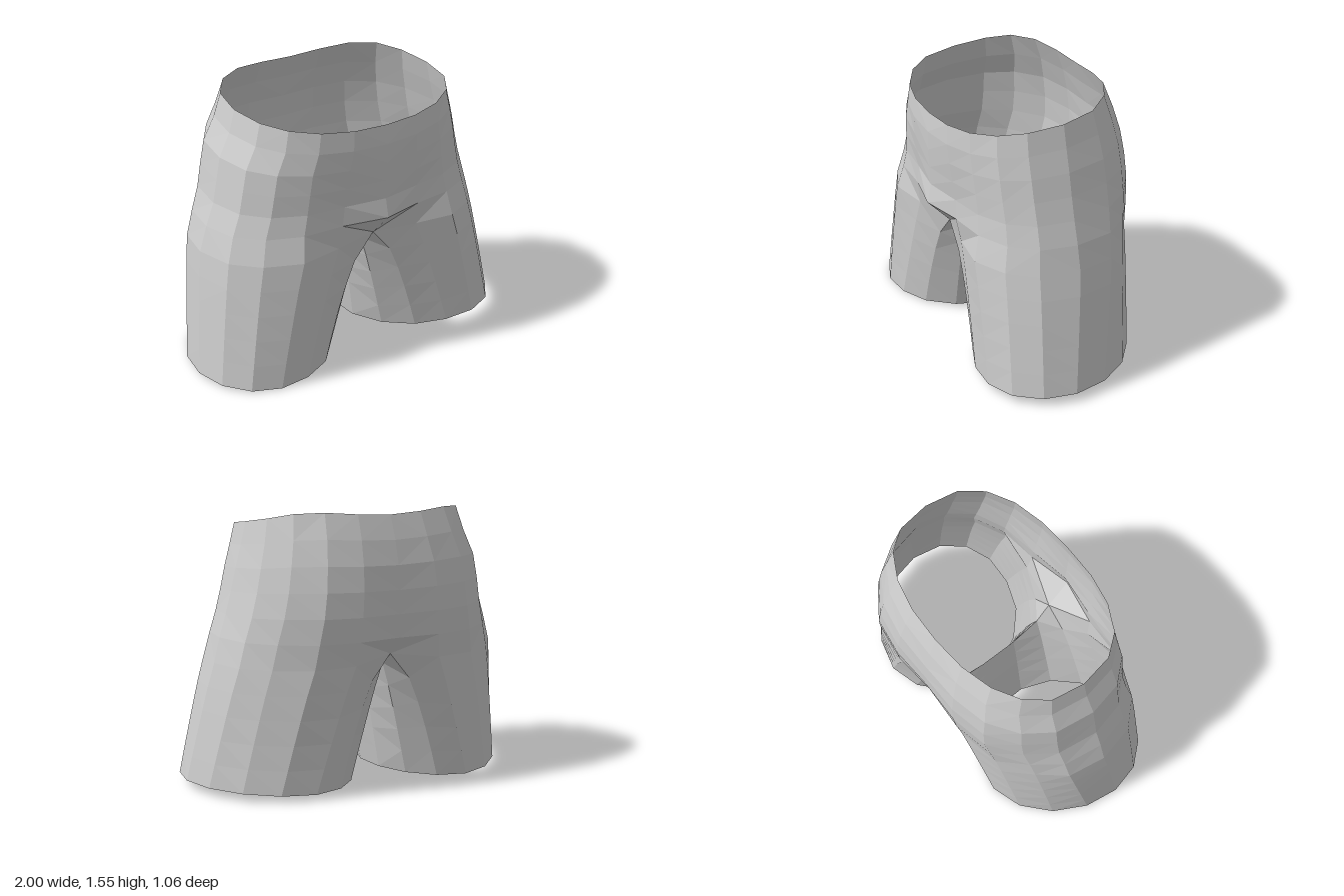
import * as THREE from 'three';

const N = 10;            // columns from front centre to back centre on each side
const LEG_SIDES = 15;    // the same columns plus four crotch seam points

// Rows from waistband to crotch: left half width, right half width, front z, back z
const HIP_ROWS = [
  [0.655, 0.665, 0.505, -0.41],
  [0.685, 0.70, 0.52, -0.46],
  [0.72, 0.765, 0.52, -0.495],
  [0.75, 0.79, 0.515, -0.51],
  [0.785, 0.815, 0.51, -0.51],
  [0.825, 0.865, 0.52, -0.49],
  [0.86, 0.91, 0.56, -0.475],
];
const LAST = HIP_ROWS.length - 1;
const HIP_Y = 0.86, CROTCH_Y = 0.72;

// Crotch seam from back to front: z, y
const SEAM = [[-0.32, 0.69], [-0.11, 0.62], [0.12, 0.60], [0.30, 0.65]];

const lerp = THREE.MathUtils.lerp;
const bump = (x, centre, width) => Math.exp(-(((x - centre) / width) ** 2));

// One point of the hips: row, column k (0 front, N back), side +1 left / -1 right
function hipPoint(row, k, side) {
  const f = Math.min(row / (LAST - 1), 1);
  const [left, right, front, back] = HIP_ROWS[row];
  const a = (k / N) * Math.PI;
  const s = k % N === 0 ? 0 : Math.sin(a), c = Math.cos(a);
  const x = s * (side > 0 ? left : right);
  const mid = 0.04, isFront = k < N / 2;
  const depth = Math.pow(Math.max(0, 1 - s ** 2.5), 0.4);
  let z = mid + ((isFront ? front : back) - mid) * depth;
  // Hollow between fly and thigh in front, fuller seat beside the back crease
  if (isFront) z -= 0.045 * f * bump(x, 0.32, 0.13);
  else z -= 0.05 * f * bump(x, 0.4, 0.2);
  // The fly stands out above the crotch, and the lowest row tucks in below it
  if (row === LAST - 1 && isFront) z += 0.015 * bump(x, 0, 0.25);
  if (row === LAST) z += isFront ? -0.16 * bump(x, 0, 0.26) : 0.06 * bump(x, 0, 0.2);
  const waistY = 1.465 - 0.065 * c + 0.025 * s * s + (c < 0 ? 0.03 * Math.sin(2 * a) ** 2 : 0);
  const crotchY = CROTCH_Y + (isFront ? 0 : 0.04 * bump(x, 0, 0.2));
  return new THREE.Vector3(side * x, row === LAST ? crotchY : lerp(waistY, HIP_Y, f), z);
}

// One point of the leg hem, an oval whose outer side leans forward
function hemPoint(k, side) {
  const a = THREE.MathUtils.degToRad(-30 + 24 * k);
  const s = Math.sin(a), c = Math.cos(a);
  const [cx, rx] = side > 0 ? [0.54, 0.46] : [0.56, 0.44];
  const y = side > 0 ? 0.035 + 0.015 * s : 0.01 - 0.01 * Math.cos(2 * a);
  return new THREE.Vector3(side * (cx + rx * s), y, 0.025 + 0.47 * c + (s > 0 ? 0.1 : 0.03) * s);
}

// Rings run from top to bottom, each anticlockwise seen from above
function loft(name, rings, material) {
  const n = rings[0].length, points = rings.flat(), index = [];
  for (let r = 0; r < rings.length - 1; r++) {
    for (let i = 0; i < n; i++) {
      const a = r * n + i, b = r * n + (i + 1) % n, c = a + n, d = b + n;
      // Split each quad along its shorter diagonal
      if (points[a].distanceTo(points[d]) < points[b].distanceTo(points[c])) index.push(a, c, d, a, d, b);
      else index.push(a, c, b, b, c, d);
    }
  }
  const geometry = new THREE.BufferGeometry().setFromPoints(points);
  geometry.setIndex(index);
  geometry.computeVertexNormals();
  const mesh = new THREE.Mesh(geometry, material);
  mesh.name = name;
  return mesh;
}

function hips(material) {
  const rings = HIP_ROWS.map((_, row) => {
    const ring = [];
    for (let k = 0; k <= N; k++) ring.push(hipPoint(row, k, 1));
    for (let k = N - 1; k > 0; k--) ring.push(hipPoint(row, k, -1));
    return ring;
  });
  return loft('hips', rings, material);
}

function leg(name, side, material) {
  const rows = 5, rings = [];
  for (let r = 0; r <= rows; r++) {
    const t = r / rows, ring = [];
    for (let k = 0; k < LEG_SIDES; k++) {
      const seam = k > N ? SEAM[k - N - 1] : null;
      const top = seam ? new THREE.Vector3(-0.012, seam[1], seam[0]) : hipPoint(LAST, k, side);
      const hem = hemPoint(k, side);
      // The centre columns part quickly at the crotch
      const tx = Math.pow(t, k === 0 || k === N ? 0.6 : 0.9);
      ring.push(new THREE.Vector3(lerp(top.x, hem.x, tx), lerp(top.y, hem.y, t), lerp(top.z, hem.z, t)));
    }
    rings.push(side > 0 ? ring : ring.reverse());
  }
  return loft(name, rings, material);
}

export function createModel() {
  const material = new THREE.MeshStandardMaterial({
    color: 0xcccccc, flatShading: true, side: THREE.DoubleSide,
  });
  const group = new THREE.Group();
  group.name = 'shorts';
  group.add(hips(material), leg('leftLeg', 1, material), leg('rightLeg', -1, material));
  return group;
}
